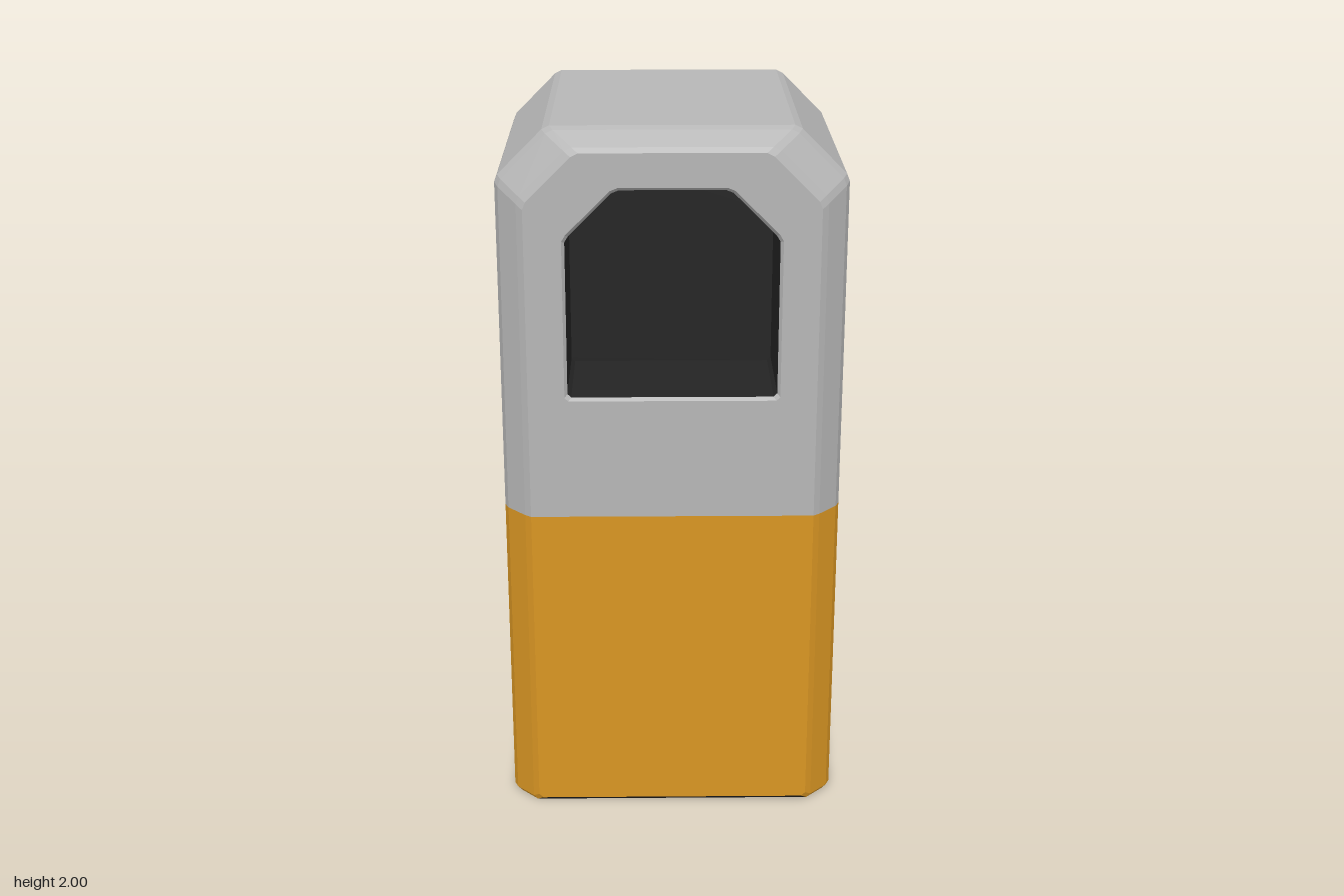
import * as THREE from 'three';

const W = 0.47, TOP = 2, Z_BACK = -0.44, Z_FRONT = 0.44;

// Height of the colour split, rising slightly toward the back
const split = (z) => 0.92 + (Z_FRONT - z) * 0.034;

// Depth stations: z, sideways inset, top inset, bottom lift
const stations = [
  [Z_BACK, 0.012, 0.01, 0.012],
  [-0.428, 0, 0, 0],
  [0.355, 0, 0, 0],
  [0.378, 0.01, 0.007, 0],
  [0.428, 0.06, 0.042, 0],
  [Z_FRONT, 0.077, 0.055, 0.012],
];

// Completes a right-hand profile with its mirror image
const mirror = (pts) => [...pts, ...pts.map(([x, y]) => [-x, y]).reverse()];

// Profiles run counter-clockwise seen from the front
const upperProfile = ([z, dx, dy]) => mirror([
  [W - dx, split(z)], [W - dx, 1.85 - dy], [W - 0.008 - dx, 1.87 - dy],
  [0.342 - dx, 1.99 - dy], [0.322 - dx, TOP - dy],
]);
const lowerProfile = ([z, dx, , lift]) => mirror([
  [W - 0.012 - dx, lift], [W - dx, lift + 0.012], [W - dx, split(z)],
]).map((p, i, all) => all[(i + 3) % all.length]);
const bottomProfile = ([, dx, , lift]) => [[-(W - 0.012 - dx), lift], [W - 0.012 - dx, lift]];

// Outline of the arched opening, grown by g
const openingProfile = (g) => mirror([
  [0.275 + g, 1.27 - g], [0.285 + g, 1.28 - g], [0.285 + g, 1.705 + g * 0.5],
  [0.275 + g, 1.722 + g * 0.5], [0.16 + g * 0.5, 1.837 + g], [0.14 + g * 0.5, 1.845 + g],
]);

// Skin between profiles placed at successive depths
function loft(rings, closed = false) {
  const pos = [];
  for (let k = 0; k < rings.length - 1; k++) {
    const [z0, p] = rings[k], [z1, q] = rings[k + 1];
    const n = p.length;
    for (let i = 0; i < (closed ? n : n - 1); i++) {
      const j = (i + 1) % n;
      const a = [...p[i], z0], b = [...p[j], z0], c = [...q[j], z1], d = [...q[i], z1];
      pos.push(...a, ...b, ...c, ...a, ...c, ...d);
    }
  }
  const geo = new THREE.BufferGeometry();
  geo.setAttribute('position', new THREE.Float32BufferAttribute(pos, 3));
  geo.computeVertexNormals();
  return geo;
}

// Flat end face at depth z
function cap(profile, z, facingBack = false, hole = null) {
  const toV = (pts) => pts.map(([x, y]) => new THREE.Vector2(x, y));
  // All outlines are symmetric, so a half turn shows the same shape from behind
  const shape = new THREE.Shape(toV(profile));
  if (hole) shape.holes.push(new THREE.Path(toV(hole)));
  const geo = new THREE.ShapeGeometry(shape);
  if (facingBack) geo.rotateY(Math.PI);
  return geo.translate(0, 0, z);
}

export function createModel() {
  const grey = new THREE.MeshStandardMaterial({ color: 0xb6b6b6 });
  const orange = new THREE.MeshStandardMaterial({ color: 0xd89523 });
  const black = new THREE.MeshStandardMaterial({ color: 0x242424 });
  grey.name = 'grey';
  orange.name = 'orange';
  black.name = 'black';

  const model = new THREE.Group();
  model.name = 'bin';
  const add = (name, geo, mat) => {
    const mesh = new THREE.Mesh(geo, mat);
    mesh.name = name;
    model.add(mesh);
  };
  const rings = (profile) => stations.map((s) => [s[0], profile(s)]);
  const back = stations[0], front = stations[stations.length - 1];

  // Grey hood with the opening cut in its front
  const rim = openingProfile(0.008), opening = openingProfile(0);
  add('hoodShell', loft(rings(upperProfile)), grey);
  add('hoodBack', cap(upperProfile(back), Z_BACK, true), grey);
  add('hoodFront', cap(upperProfile(front), Z_FRONT, false, rim), grey);

  // Orange base
  add('baseShell', loft(rings((s) => {
    const p = lowerProfile(s);
    // left side down to the floor, then right side up from it
    return [p[0], p[1], p[2]];
  })), orange);
  add('baseShellRight', loft(rings((s) => lowerProfile(s).slice(3))), orange);
  add('baseBack', cap(lowerProfile(back), Z_BACK, true), orange);
  add('baseFront', cap(lowerProfile(front), Z_FRONT), orange);
  add('underside', loft(rings(bottomProfile)), black);

  // Bevelled lip and dark recess, facing inward
  const inward = (pts) => [...pts].reverse();
  const zLip = Z_FRONT - 0.01, zRecess = 0.13;
  add('openingLip', loft([[zLip, inward(opening)], [Z_FRONT, inward(rim)]], true), grey);
  add('recessWalls', loft([[zRecess, inward(opening)], [zLip, inward(opening)]], true), black);
  add('recessBack', cap(opening, zRecess), black);

  return model;
}
